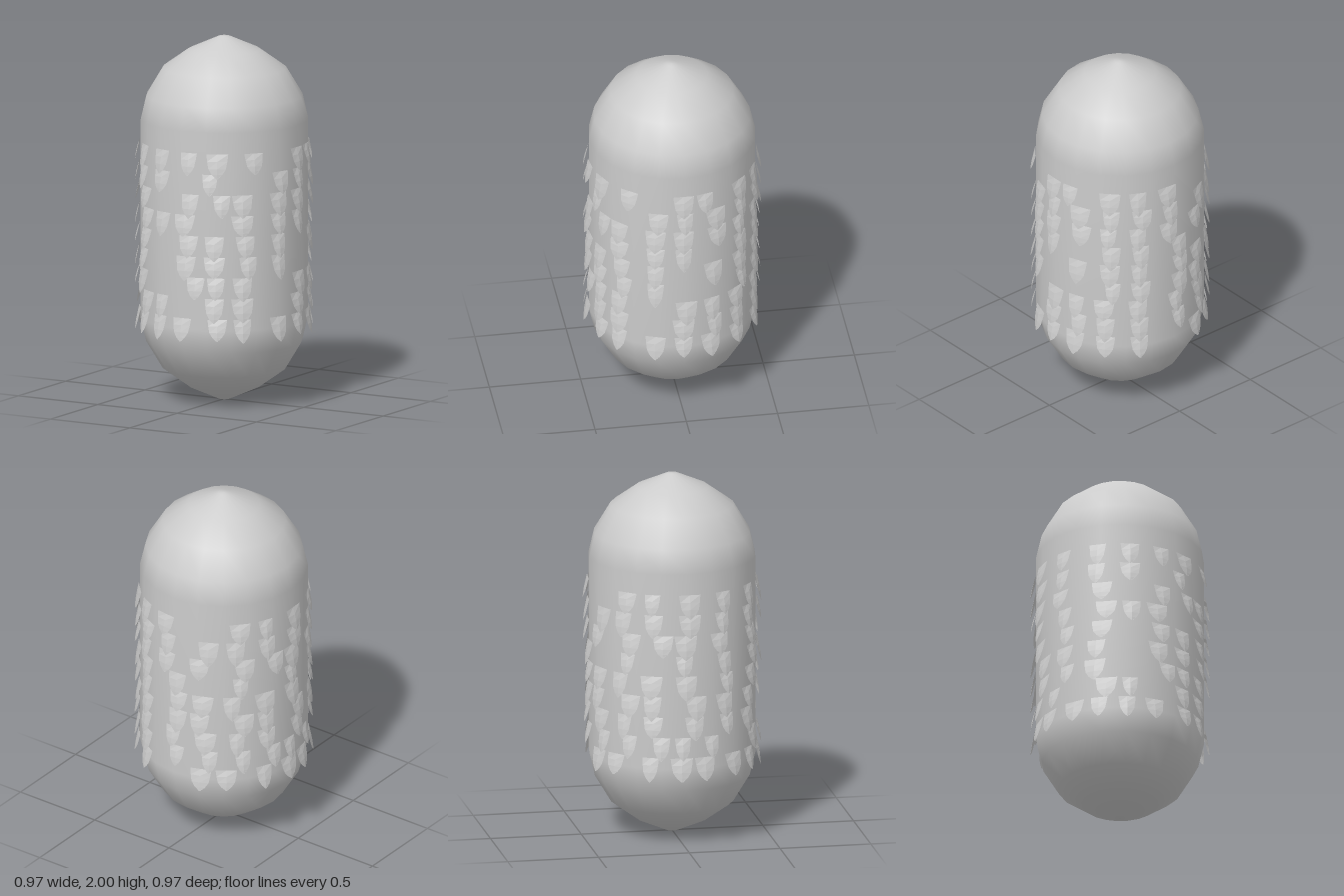
import * as THREE from 'three';

const RADIUS = 0.455;
const ROW_TOP = 1.43, ROW_STEP = 0.114;

// Scale angles in degrees per row, measured from the front (+z) towards +x
const ROWS = [
  [-64, -38, -16, 6, 26, 51, 89, 104, 133, 152],
  [-65, -39, -16, 21, 72, 90, 112, 134, 155],
  [-67, -35, 7, 29, 43, 70, 89, 113, 132, 152],
  [-63, -32, -15, 3, 43, 70, 89, 134, 154],
  [-61, -35, 6, 24, 45, 70, 110, 133, 153],
  [-63, -39, 4, 24, 47, 70, 135, 154],
  [-61, -40, 11, 25, 43, 91, 109, 129, 152],
  [-73, -32, -16, 24, 43, 89, 111, 130, 153],
  [-78, -55, -37, -18, 1, 26, 43, 70, 89, 108, 130, 153],
];

function seeded(seed) {
  return () => {
    seed = (seed * 16807) % 2147483647;
    return seed / 2147483647;
  };
}

// Shield-shaped scale of unit width and length, hanging from its top edge and flaring outwards
function scaleGeometry() {
  const halfWidths = [0.5, 0.46, 0.4, 0.24, 0.03];
  const drops = [0, 0.3, 0.6, 0.83, 1];
  const positions = [], index = [];
  drops.forEach((t, i) => {
    const w = halfWidths[i];
    const ridge = 0.006 * Math.sin(Math.PI * t);
    positions.push(-w, -t, 0.028 * t, 0, -t, 0.028 * t + ridge, w, -t, 0.028 * t);
    if (i === 0) return;
    for (let c = 0; c < 2; c++) {
      const a = (i - 1) * 3 + c, b = i * 3 + c;
      index.push(a, b, a + 1, a + 1, b, b + 1);
    }
  });
  const geometry = new THREE.BufferGeometry();
  geometry.setAttribute('position', new THREE.Float32BufferAttribute(positions, 3));
  geometry.setIndex(index);
  geometry.computeVertexNormals();
  return geometry;
}

export function createModel() {
  const model = new THREE.Group();
  const bodyMaterial = new THREE.MeshStandardMaterial({ color: 0xcccccc });
  const scaleMaterial = new THREE.MeshStandardMaterial({
    color: 0xcccccc, side: THREE.DoubleSide, flatShading: true,
  });

  // Capsule body: lower cap profile mirrored to make the upper one
  const cap = [[0, 0], [0.03, 0.002], [0.195, 0.075], [0.335, 0.175], [0.425, 0.325], [RADIUS, 0.455]];
  const profile = [
    ...cap.map(([r, y]) => new THREE.Vector2(r, y)),
    ...cap.slice().reverse().map(([r, y]) => new THREE.Vector2(r, 2 - y)),
  ];
  const body = new THREE.Mesh(new THREE.LatheGeometry(profile, 20), bodyMaterial);
  body.name = 'body';
  model.add(body);

  // Rows of scales around the straight part of the body
  const scales = new THREE.Group();
  scales.name = 'scales';
  const geometry = scaleGeometry();
  const random = seeded(4217);
  ROWS.forEach((angles, row) => {
    const all = [...angles];
    // Continue the row around the back with slightly uneven spacing and a few gaps
    for (let k = 8; k <= 12; k++) {
      const jitter = (random() - 0.5) * 14;
      if (random() > 0.15) all.push(k * 22.5 + jitter);
    }
    for (const degrees of all) {
      const angle = THREE.MathUtils.degToRad(degrees);
      const scale = new THREE.Mesh(geometry, scaleMaterial);
      scale.name = 'scale';
      scale.scale.set(0.085 + 0.04 * random(), 0.11 + 0.025 * random(), 1);
      scale.position.set(
        Math.sin(angle) * (RADIUS + 0.002),
        ROW_TOP - row * ROW_STEP,
        Math.cos(angle) * (RADIUS + 0.002),
      );
      scale.rotation.y = angle;
      scales.add(scale);
    }
  });
  model.add(scales);
  return model;
}
